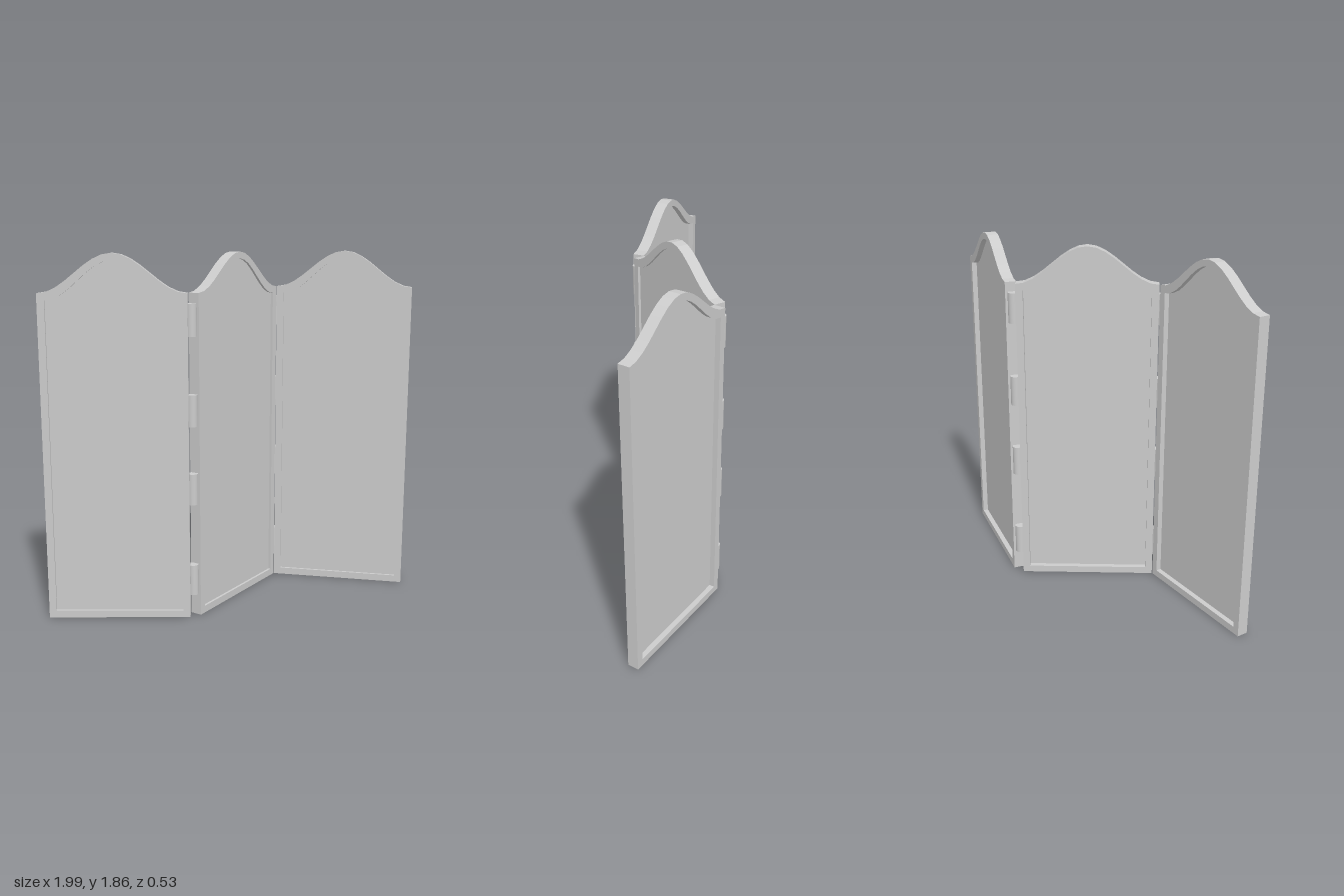
import * as THREE from 'three';

const WIDTH = 0.728, THICK = 0.06, BORDER = 0.037;
const SHOULDER = 1.663, RISE = 0.192;
const FRONT_RECESS = 0.013, BACK_RECESS = 0.028;

// Bell-topped outline, pulled in by the inset on every side
function outline(inset, PathType) {
  const half = WIDTH / 2 - inset, steps = 16;
  const path = new PathType();
  path.moveTo(-half, inset);
  path.lineTo(half, inset);
  for (let i = 0; i <= steps; i++) {
    const x = half * (1 - 2 * i / steps);
    const bell = 0.5 * (1 + Math.cos(Math.PI * x / half));
    path.lineTo(x, SHOULDER - inset * 0.93 + RISE * bell);
  }
  path.closePath();
  return path;
}

function slab(shape, back, front) {
  const geo = new THREE.ExtrudeGeometry(shape, { depth: front - back, bevelEnabled: false });
  return geo.translate(0, 0, back);
}

export function createModel() {
  const model = new THREE.Group();
  model.name = 'foldingScreen';
  const material = new THREE.MeshStandardMaterial({ color: 0xcccccc });

  const frameShape = outline(0, THREE.Shape);
  frameShape.holes.push(outline(BORDER, THREE.Path));
  const frameGeo = slab(frameShape, -THICK / 2, THICK / 2);
  const fillGeo = slab(outline(BORDER, THREE.Shape), -THICK / 2 + BACK_RECESS, THICK / 2 - FRONT_RECESS);

  const add = (parent, geo, name) => {
    const mesh = new THREE.Mesh(geo, material);
    mesh.name = name;
    parent.add(mesh);
    return mesh;
  };

  // Three leaves, each set between two floor points [x, z]
  const leaves = [
    ['rightLeaf', [-0.99, 0.03], [-0.289, 0.235]],
    ['middleLeaf', [-0.26, 0.229], [0.306, -0.235]],
    ['leftLeaf', [0.34, -0.236], [0.982, 0.107]],
  ];
  for (const [name, a, b] of leaves) {
    const leaf = new THREE.Group();
    leaf.name = name;
    add(leaf, frameGeo, 'frame');
    add(leaf, fillGeo, 'infillPanel');
    leaf.position.set((a[0] + b[0]) / 2, 0, (a[1] + b[1]) / 2);
    leaf.rotation.y = -Math.atan2(b[1] - a[1], b[0] - a[0]);
    model.add(leaf);
  }

  // Four hinge barrels at each joint
  const hingeGeo = new THREE.CylinderGeometry(0.027, 0.027, 0.16, 20);
  for (const [x, z] of [[-0.274, 0.238], [0.321, -0.24]]) {
    for (const y of [0.198, 0.68, 1.083, 1.532]) {
      add(model, hingeGeo, 'hinge').position.set(x, y, z);
    }
  }
  return model;
}
